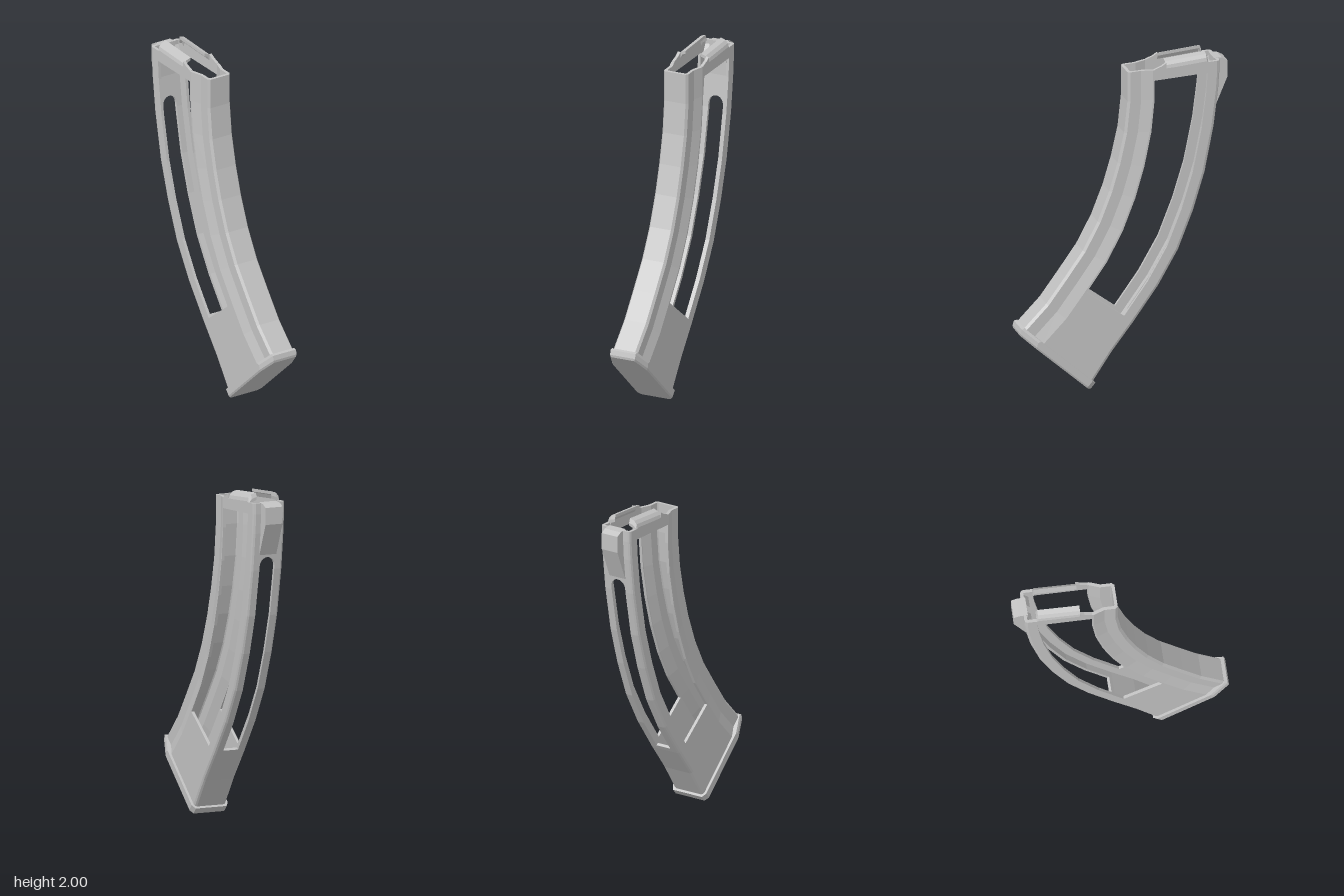
import * as THREE from 'three';

// Stations along the curve, top to bottom: front z, front y, back z, back y
const STATIONS = [
  [-0.02, 1.92, -0.57, 1.95], [-0.02, 1.855, -0.57, 1.885], [-0.02, 1.74, -0.562, 1.77],
  [0, 1.55, -0.535, 1.55], [0.04, 1.37, -0.48, 1.27], [0.09, 1.2, -0.41, 1.04],
  [0.16, 1.02, -0.32, 0.81], [0.25, 0.85, -0.2, 0.6], [0.36, 0.695, -0.05, 0.39],
  [0.47, 0.545, 0.08, 0.22], [0.61, 0.4, 0.2, 0.04],
];
const WALL = 0.018, FRONT_EDGE = 0.155, BACK_EDGE = 0.075;
const SLOT_TOP = 2.66, SLOT_END = 7.88;

function stationAt(s) {
  const i = Math.min(Math.floor(s), STATIONS.length - 2);
  const [fz, fy, bz, by] = STATIONS[i].map((v, k) => THREE.MathUtils.lerp(v, STATIONS[i + 1][k], s - i));
  const depth = Math.hypot(bz - fz, by - fy);
  return { depth, place: ([x, d]) => [x, fy + (by - fy) * d / depth, fz + (bz - fz) * d / depth] };
}

// Solid from rings { flat: 2D outline, points: 3D outline }, flat shaded, ends capped
function loft(rings) {
  if (THREE.ShapeUtils.area(rings[0].flat.map(p => new THREE.Vector2(...p))) < 0) {
    rings = rings.map(r => ({ flat: [...r.flat].reverse(), points: [...r.points].reverse() }));
  }
  const tris = [], n = rings[0].points.length;
  for (let k = 0; k < rings.length - 1; k++) {
    const a = rings[k].points, b = rings[k + 1].points;
    for (let i = 0; i < n; i++) {
      const j = (i + 1) % n;
      tris.push([a[i], a[j], b[j]], [a[i], b[j], b[i]]);
    }
  }
  const cap = (ring, flip) => {
    const outline = ring.flat.map(p => new THREE.Vector2(...p));
    for (const [a, b, c] of THREE.ShapeUtils.triangulateShape(outline, [])) {
      const t = [ring.points[a], ring.points[b], ring.points[c]];
      tris.push(flip ? t.reverse() : t);
    }
  };
  cap(rings[0], true);
  cap(rings[rings.length - 1], false);
  // Turn all faces outward
  let volume = 0;
  for (const t of tris) {
    const [a, b, c] = t.map(p => new THREE.Vector3(...p));
    volume += a.dot(b.cross(c));
  }
  if (volume < 0) tris.forEach(t => t.reverse());
  const geo = new THREE.BufferGeometry();
  geo.setAttribute('position', new THREE.Float32BufferAttribute(tris.flat(2), 3));
  geo.computeVertexNormals();
  return geo;
}

// Sweep a section (x, distance behind the front) along the curved body
function sweep(stops, section) {
  return loft(stops.map(s => {
    const st = stationAt(s);
    const flat = section(s, st.depth);
    return { flat, points: flat.map(st.place) };
  }));
}

export function createModel() {
  const group = new THREE.Group();
  const grey = new THREE.MeshStandardMaterial({ color: 0xc2c2c2 });
  grey.name = 'lightGrey';
  const add = (name, geo) => {
    const mesh = new THREE.Mesh(geo, grey);
    mesh.name = name;
    group.add(mesh);
    return mesh;
  };

  // Front channel, narrower at the nose and flaring out to the sides
  const outer = [[0.102, FRONT_EDGE], [0.102, 0.145], [0.08, 0.08], [0.08, 0.015], [0.068, 0]];
  const inner = [[0.056, WALL], [0.062, 0.024], [0.062, 0.086], [0.084, 0.15], [0.084, FRONT_EDGE]];
  const mirror = pts => pts.map(([x, d]) => [-x, d]).reverse();
  const channel = [...outer, ...mirror(outer), ...mirror(inner), ...inner];
  add('frontChannel', sweep(STATIONS.map((_, i) => i), () => channel));

  // Half width of the round-topped slot in the back wall
  const slot = s => {
    if (s <= SLOT_TOP || s > SLOT_END) return 0;
    const t = Math.min(1, (s - SLOT_TOP) / 0.24);
    return 0.048 * Math.sqrt(1 - (1 - t) ** 2);
  };
  const railStops = [0, 1, 2, SLOT_TOP, 2.67, 2.7, 2.76, 2.82, 2.9, 3, 4, 5, 6, 7, SLOT_END, SLOT_END + 0.001, 8, 9, 10];

  for (const side of [1, -1]) {
    const label = side > 0 ? 'left' : 'right';

    // Back rail with bevelled corner, between side window and back slot
    add(label + 'BackRail', sweep(railStops, (s, L) => {
      const w = slot(s);
      return [[0.102, BACK_EDGE], [0.102, 0.018], [0.097, 0.006], [0.087, 0], [w, 0], [w, WALL],
        [0.084, WALL], [0.084, BACK_EDGE]].map(([x, e]) => [x * side, L - e]);
    }));

    // Side panels below and above the window
    const panel = (s, L) => [[0.102, FRONT_EDGE], [0.102, L - BACK_EDGE], [0.084, L - BACK_EDGE], [0.084, FRONT_EDGE]]
      .map(([x, d]) => [x * side, d]);
    add(label + 'LowerPanel', sweep([8, 9, 10], panel));
    add(label + 'UpperPanel', sweep([0, 1], panel));

    // Feed lip: an upright ramp, then a rim that curls inward
    const ramp = new THREE.Shape([[-0.175, 1.9], [-0.175, 1.93], [-0.22, 1.948], [-0.245, 1.965], [-0.245, 1.9]]
      .map(([z, y]) => new THREE.Vector2(-z, y)));
    const rampGeo = new THREE.ExtrudeGeometry(ramp, { depth: WALL, bevelEnabled: false });
    rampGeo.rotateY(Math.PI / 2);
    rampGeo.translate(side * 0.093 - WALL / 2, 0, 0);
    add(label + 'LipRamp', rampGeo);

    const lip = [[0.102, 1.9], [0.102, 1.952], [0.096, 1.972], [0.08, 1.99], [0.05, 2],
      [0.05, 1.982], [0.072, 1.974], [0.084, 1.95], [0.084, 1.9]];
    add(label + 'FeedLip', loft([[-0.243, 0.022], [-0.49, 0], [-0.5, 0.025]].map(([z, drop]) => {
      const flat = lip.map(([x, y]) => [x * side, y > 1.9 ? y - drop : y]);
      return { flat, points: flat.map(([x, y]) => [x, y, z]) };
    })));

    // Sloping ledge inside the back wall, leaving a central notch
    const ledge = new THREE.Shape([[-0.556, 1.93], [-0.522, 1.87], [-0.522, 1.85], [-0.556, 1.85]]
      .map(([z, y]) => new THREE.Vector2(-z, y)));
    const ledgeGeo = new THREE.ExtrudeGeometry(ledge, { depth: 0.064, bevelEnabled: false });
    ledgeGeo.rotateY(Math.PI / 2);
    ledgeGeo.translate(side * 0.052 - 0.032, 0, 0);
    add(label + 'InnerLedge', ledgeGeo);
  }

  // Locking lug on the upper back
  const lug = new THREE.Shape([[-0.545, 1.952], [-0.595, 1.948], [-0.628, 1.93], [-0.628, 1.83], [-0.548, 1.64], [-0.54, 1.66]]
    .map(([z, y]) => new THREE.Vector2(-z, y)));
  const lugGeo = new THREE.ExtrudeGeometry(lug, { depth: 0.11, bevelEnabled: false });
  lugGeo.translate(0, 0, -0.055);
  lugGeo.rotateY(Math.PI / 2);
  add('rearLug', lugGeo);

  // Floor plate with cut front corners, tilted along the lower end, flush with the nose
  const plateRing = ([h, front, inset]) => {
    const half = [[0.082 - inset, front], [0.117 - inset, front - 0.12], [0.117 - inset, 0.015], [0.1 - inset, inset - 0.013]];
    const flat = [...half, ...mirror(half)];
    return { flat, points: flat.map(([x, u]) => [x, 0.04 + u * 0.66 - h * 0.751, 0.2 + u * 0.751 + h * 0.66]) };
  };
  add('floorPlate', loft([[-0.012, 0.546, 0], [0.004, 0.558, 0], [0.03, 0.546, 0], [0.04, 0.535, 0.005]].map(plateRing)));

  return group;
}
